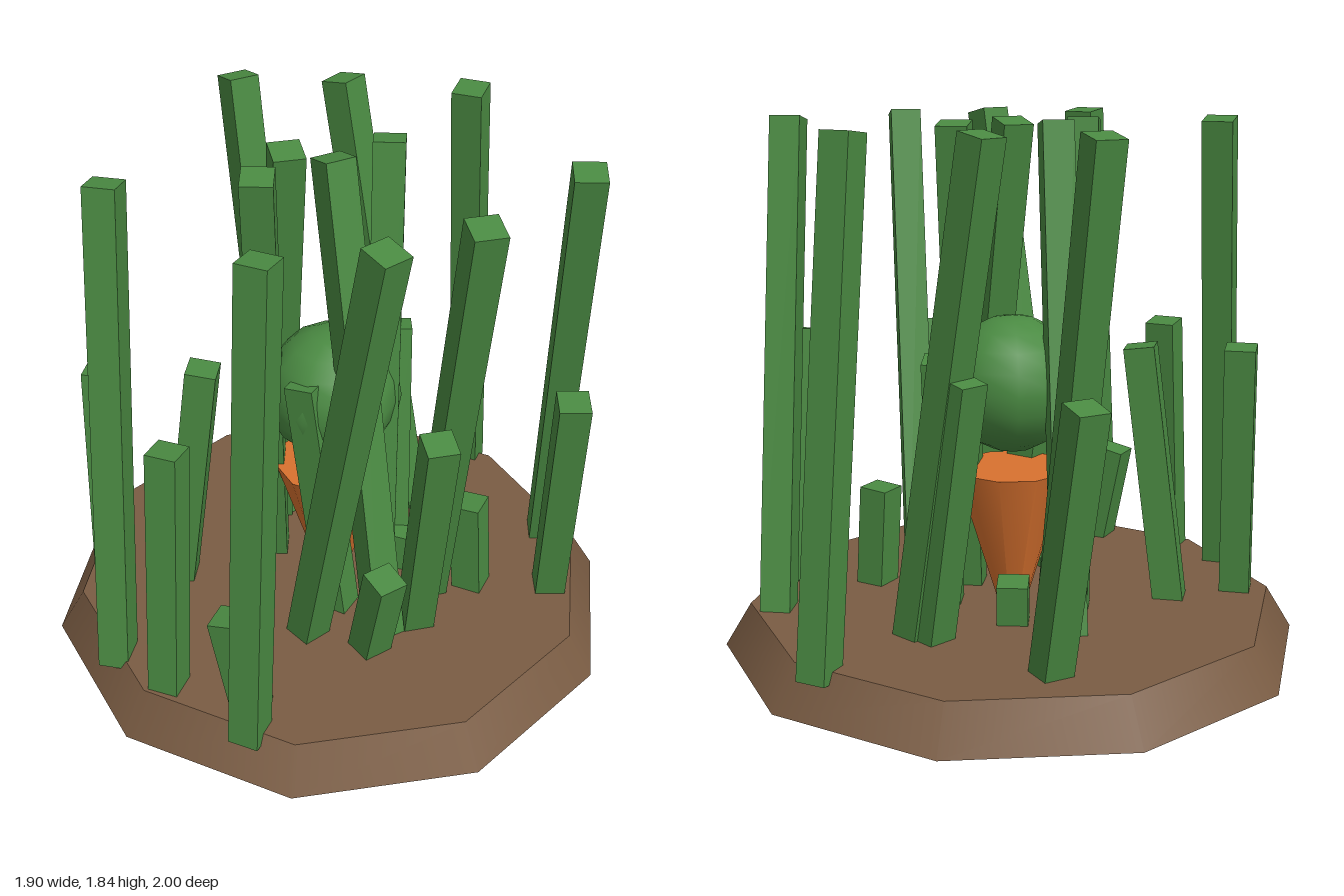
import * as THREE from 'three';

export function createModel() {
  const model = new THREE.Group();
  const green = new THREE.MeshStandardMaterial({ color: 0x4a8a42 });
  green.name = 'grass green';
  const brown = new THREE.MeshStandardMaterial({ color: 0x7a5c43 });
  brown.name = 'soil brown';
  const orange = new THREE.MeshStandardMaterial({ color: 0xd9722f });
  orange.name = 'root orange';

  const add = (name, geometry, material, y = 0) => {
    const mesh = new THREE.Mesh(geometry, material);
    mesh.name = name;
    mesh.position.y = y;
    model.add(mesh);
    return mesh;
  };

  // Ten-sided mound of soil
  add('soilBase', new THREE.CylinderGeometry(0.91, 1, 0.15, 10), brown, 0.105);

  // Pointed root whose tip passes through the soil, with a leafy ball above
  add('root', new THREE.CylinderGeometry(0.2, 0, 0.65, 10), orange, 0.325);
  add('leafBall', new THREE.SphereGeometry(0.235, 10, 10), green, 0.945);

  // Square stalk from a foot to a tip, turned so one side faces its lean
  const WIDTH = 0.105, FOOT = 0.14;
  function stalk(name, tipY, [tx, tz, bx, bz]) {
    const foot = new THREE.Vector3(bx, FOOT, bz);
    const tip = new THREE.Vector3(tx, tipY, tz);
    const up = tip.clone().sub(foot);
    const length = up.length();
    up.normalize();
    const side = new THREE.Vector3(tz - bz, 0, bx - tx).normalize();
    const lean = new THREE.Vector3().crossVectors(side, up);
    const mesh = add(name, new THREE.BoxGeometry(WIDTH, length, WIDTH), green);
    mesh.quaternion.setFromRotationMatrix(new THREE.Matrix4().makeBasis(side, up, lean));
    mesh.position.copy(foot).add(tip).multiplyScalar(0.5);
  }

  // Each row: tip x, tip z, foot x, foot z
  const tall = [
    [0.005, -0.69, 0.01, -0.38],
    [0.31, -0.5, 0.44, -0.2],
    [0.645, -0.22, 0.81, -0.36],
    [0.21, -0.01, 0.08, 0.2],
    [-0.015, 0.03, -0.01, 0.4],
    [-0.12, -0.08, -0.04, -0.39],
    [-0.28, 0.04, -0.14, -0.2],
    [-0.17, 0.63, -0.25, 0.27],
    [0.15, 0.64, 0.24, 0.27],
    [-0.7, -0.14, -0.87, 0.06],
    [0.62, 0.49, 0.79, 0.2],
    [-0.5, 0.5, -0.63, 0.6],
  ];
  const medium = [
    [0.14, -0.87, 0.16, -0.67],
    [0.3, -0.09, 0.22, 0.06],
    [0.06, 0.59, 0.11, 0.4],
    [-0.71, -0.31, -0.76, -0.24],
    [-0.41, -0.15, -0.51, -0.22],
    [0.56, 0.6, 0.63, 0.47],
    [-0.7, 0.22, -0.78, 0.29],
    [0.34, -0.42, 0.4, -0.26],
    [-0.15, 0.09, -0.08, 0.2],
  ];
  const low = [
    [-0.09, 0.53, -0.1, 0.44],
    [0.375, 0.31, 0.39, 0.33],
    [-0.62, 0.45, -0.57, 0.51],
  ];
  const short = [
    [0.24, 0.12, 0.23, 0.11],
    [0.1, -0.24, 0.09, -0.22],
  ];
  tall.forEach((s) => stalk('tallStalk', 1.825, s));
  medium.forEach((s) => stalk('mediumStalk', 1.07, s));
  low.forEach((s) => stalk('lowStalk', 0.535, s));
  short.forEach((s) => stalk('shortStalk', 0.325, s));

  return model;
}
